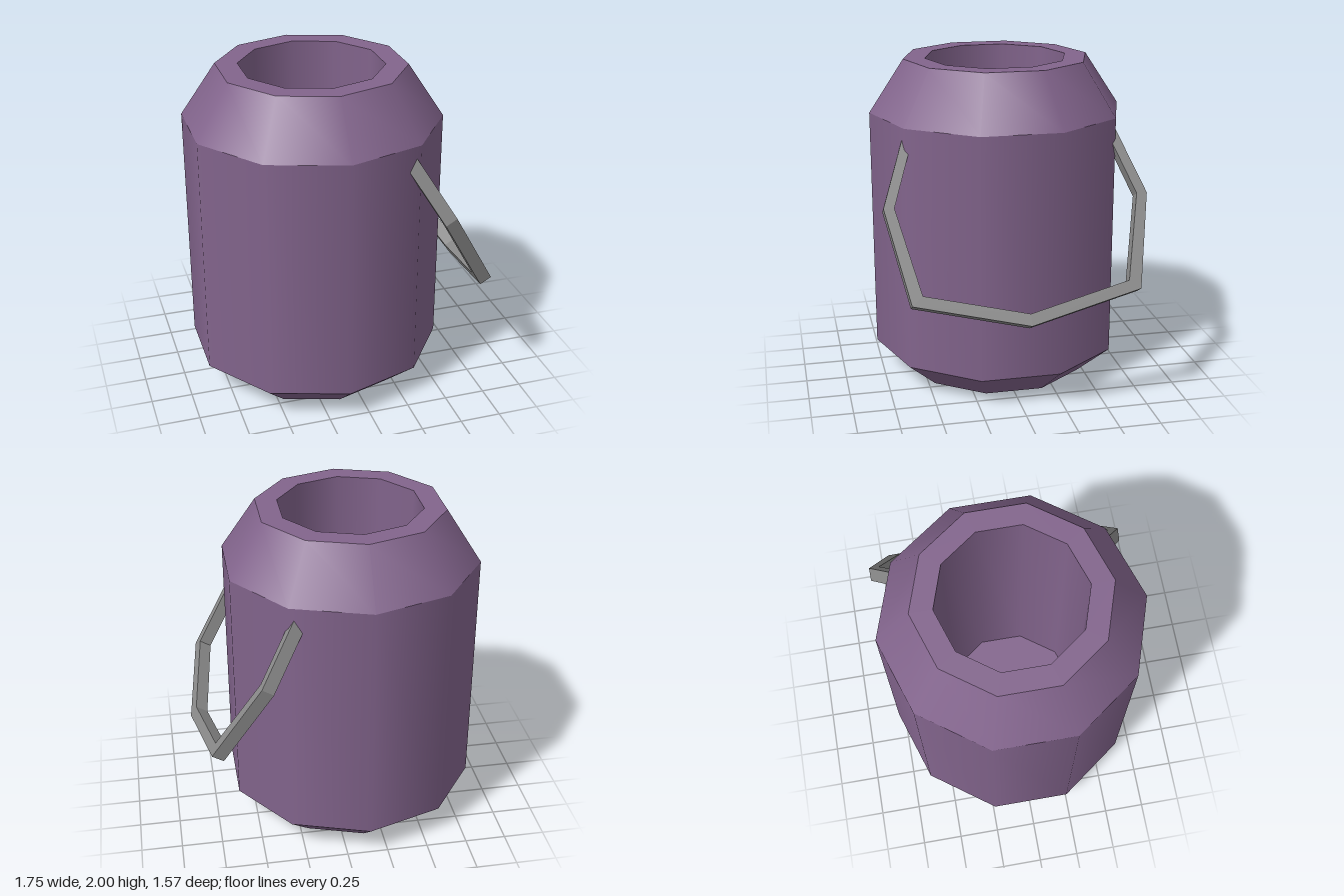
import * as THREE from 'three';

const SIDES = 10;

export function createModel() {
  const model = new THREE.Group();
  const paint = new THREE.MeshStandardMaterial({ color: 0x82648c });
  const metal = new THREE.MeshStandardMaterial({ color: 0x8a8a8a });
  metal.flatShading = true;

  // Body: each band is its own lathe, smooth around and sharp between bands
  const body = new THREE.Group();
  body.name = 'canBody';
  body.position.x = -0.133;
  const profile = [
    [0, 0], [0.57, 0], [0.783, 0.185], [0.783, 1.68], [0.57, 2],
    [0.436, 2], [0.436, 0.2], [0, 0.2],
  ];
  const names = ['base', 'lowerBevel', 'wall', 'shoulder', 'rim', 'innerWall', 'innerFloor'];
  names.forEach((name, i) => {
    const points = [profile[i], profile[i + 1]].map(([r, y]) => new THREE.Vector2(r, y));
    const band = new THREE.Mesh(new THREE.LatheGeometry(points, SIDES), paint);
    band.name = name;
    body.add(band);
  });
  model.add(body);

  // Handle: faceted half hoop, drawn as (sideways, along the tilt), ends sunk into the body
  const outer = [[0.615, -0.1], [0.783, 0.38], [0.67, 0.95], [0, 1.116]];
  const inner = [[0.555, -0.1], [0.72, 0.38], [0.605, 0.895], [0, 1.044]];
  const mirrored = (side) => [
    ...side,
    ...side.slice(0, -1).reverse().map(([u, v]) => [-u, v]),
  ];
  const outline = [...mirrored(outer), ...mirrored(inner).reverse()];
  const shape = new THREE.Shape(outline.map(([u, v]) => new THREE.Vector2(u, v)));
  const thickness = 0.078;
  const hoop = new THREE.ExtrudeGeometry(shape, { depth: thickness, bevelEnabled: false });
  hoop.translate(0, 0, -thickness / 2);

  // Tilt the hoop so it hangs outward on the +x side
  const along = new THREE.Vector3(0.51, -0.86, 0).normalize();
  const across = new THREE.Vector3(0, 0, 1);
  const normal = new THREE.Vector3().crossVectors(across, along);
  hoop.applyMatrix4(new THREE.Matrix4().makeBasis(across, along, normal).setPosition(0.273, 1.57, 0));
  const handle = new THREE.Mesh(hoop, metal);
  handle.name = 'handle';
  model.add(handle);

  return model;
}
